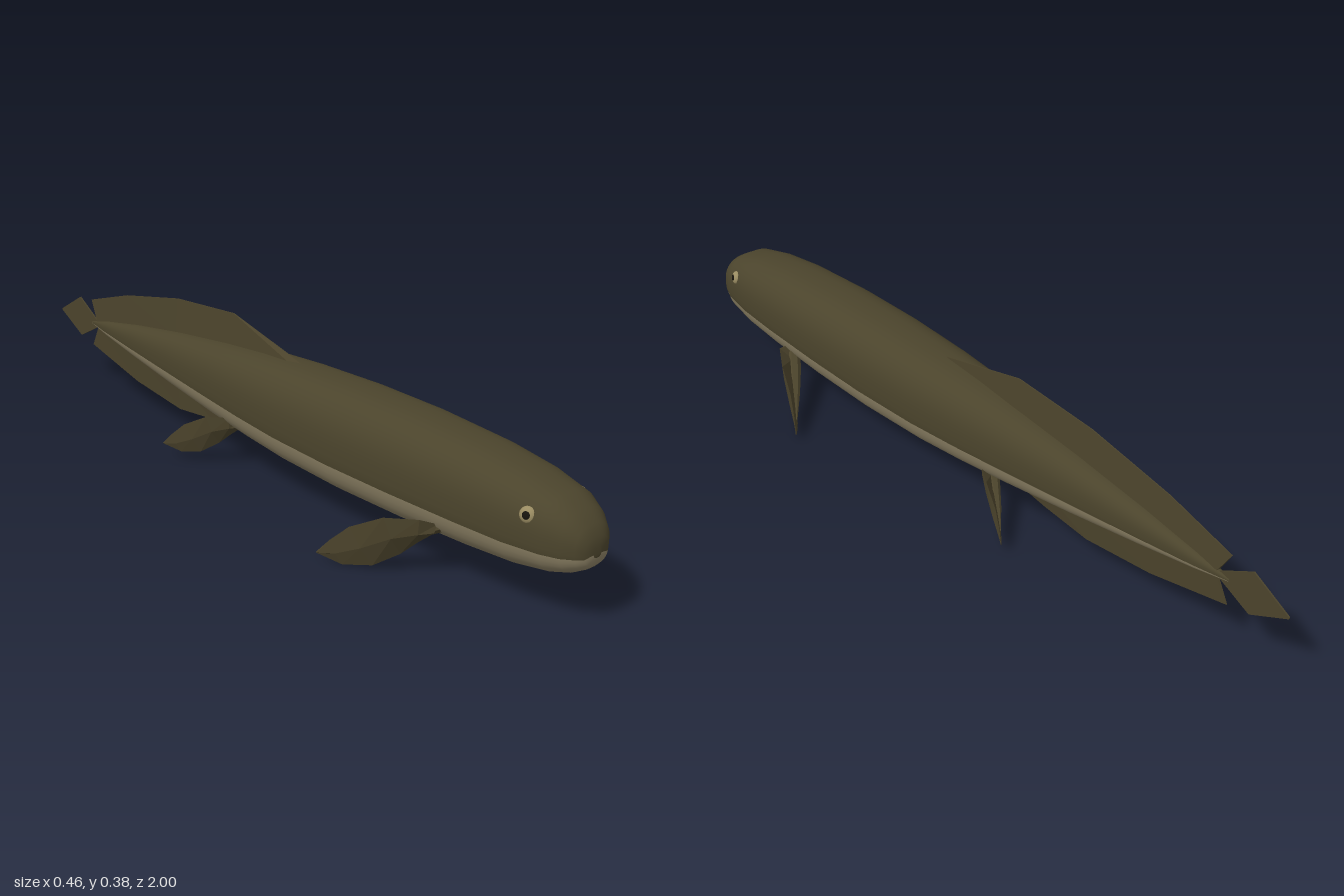
import * as THREE from 'three';

const paint = (name, color, flat = false) => {
  const m = new THREE.MeshStandardMaterial({ color, flatShading: flat });
  m.name = name;
  return m;
};

// Skin a row of equal-length closed rings; group(j) picks the material of strip j
function loft(rings, { mirror = false, group = null } = {}) {
  const n = rings[0].length, pos = [], strips = [[], []];
  rings.forEach(r => r.forEach(p => pos.push(mirror ? -p[0] : p[0], p[1], p[2])));
  const tri = (k, a, b, c) => strips[k].push(...(mirror ? [a, c, b] : [a, b, c]));
  const last = (rings.length - 1) * n;
  for (let i = 0; i < rings.length - 1; i++) {
    for (let j = 0; j < n; j++) {
      const k = group ? group(j) : 0;
      const a = i * n + j, b = i * n + (j + 1) % n;
      tri(k, a, a + n, b);
      tri(k, b, a + n, b + n);
    }
  }
  for (let j = 1; j < n - 1; j++) {
    tri(0, 0, j, j + 1);
    tri(0, last, last + j + 1, last + j);
  }
  const g = new THREE.BufferGeometry();
  g.setAttribute('position', new THREE.Float32BufferAttribute(pos, 3));
  g.setIndex([...strips[0], ...strips[1]]);
  g.addGroup(0, strips[0].length, 0);
  g.addGroup(strips[0].length, strips[1].length, 1);
  g.computeVertexNormals();
  return g;
}

export function createModel() {
  const fish = new THREE.Group();
  fish.name = 'fish';
  const back = paint('olive back', 0x4b442c);
  const belly = paint('pale belly', 0x8a7f63);
  const finMat = paint('fin olive', 0x4b432b, true);
  const eyeMat = paint('eye tan', 0x9a8c62);
  const pupilMat = paint('pupil dark', 0x17140d);

  const add = (name, geometry, material, parent = fish) => {
    const m = new THREE.Mesh(geometry, material);
    m.name = name;
    parent.add(m);
    return m;
  };

  // Body stations: z, top, bottom, half width
  const stations = [
    [1.0, 0.19, 0.165, 0.012], [0.997, 0.21, 0.148, 0.036], [0.985, 0.233, 0.136, 0.052],
    [0.96, 0.257, 0.122, 0.07], [0.92, 0.28, 0.11, 0.086], [0.83, 0.301, 0.096, 0.099],
    [0.7, 0.317, 0.088, 0.107], [0.5, 0.328, 0.081, 0.112], [0.3, 0.33, 0.079, 0.112],
    [0.1, 0.325, 0.085, 0.105], [-0.05, 0.317, 0.096, 0.094], [-0.2, 0.304, 0.11, 0.079],
    [-0.4, 0.281, 0.133, 0.058], [-0.6, 0.252, 0.16, 0.037], [-0.75, 0.225, 0.182, 0.019],
    [-0.84, 0.204, 0.196, 0.003],
  ];
  // Rounded-square sections; the first angles cover the back, the rest the belly
  const upper = 24, lower = 16, seam = 0.25;
  const angles = [];
  for (let j = 0; j < upper; j++) angles.push(-seam + (Math.PI + 2 * seam) * j / upper);
  for (let j = 0; j < lower; j++) angles.push(Math.PI + seam + (Math.PI - 2 * seam) * j / lower);
  const soft = v => Math.sign(v) * Math.abs(v) ** 0.8;
  const bodyRings = stations.map(([z, top, bottom, w]) => angles.map(a => [
    w * soft(Math.cos(a)),
    (top + bottom) / 2 + (top - bottom) / 2 * soft(Math.sin(a)),
    z,
  ]));
  add('body', loft(bodyRings, { group: j => (j < upper ? 0 : 1) }), [back, belly]);

  // Wedge-shaped middle fins, ribs: base z, base y, edge z, edge y
  const wedge = (name, ribs, width) => {
    const s = Math.sign(ribs[1][3] - ribs[1][1]);
    add(name, loft(ribs.map(([zb, yb, zt, yt], i) => {
      const w = s * width * (1 - 0.6 * i / ribs.length), e = s * 0.0012;
      return [[w, yb, zb], [e, yt, zt], [-e, yt, zt], [-w, yb, zb]];
    })), finMat);
  };
  wedge('dorsalFin', [
    [0.08, 0.31, 0.08, 0.324], [-0.18, 0.29, -0.18, 0.385], [-0.42, 0.265, -0.42, 0.367],
    [-0.66, 0.232, -0.66, 0.32], [-0.805, 0.205, -0.84, 0.266],
  ], 0.012);
  wedge('analFin', [
    [-0.1, 0.115, -0.1, 0.102], [-0.28, 0.13, -0.28, 0.075], [-0.42, 0.145, -0.42, 0.061],
    [-0.62, 0.168, -0.62, 0.084], [-0.805, 0.195, -0.84, 0.134],
  ], 0.008);

  // Diamond tail
  add('tailFin', loft([
    [-0.8, 0.202, 0.198], [-0.9, 0.26, 0.147], [-1.0, 0.203, 0.199],
  ].map(([z, t, b]) => [[0.002, b, z], [0.002, t, z], [-0.002, t, z], [-0.002, b, z]])), finMat);

  // Lobed paired fins: upper edge, lower edge, ridge height
  const blade = [
    [[0.09, 0.135, 0.645], [0.08, 0.1, 0.62], 0.016],
    [[0.125, 0.148, 0.625], [0.1, 0.078, 0.597], 0.015],
    [[0.165, 0.14, 0.555], [0.125, 0.048, 0.57], 0.012],
    [[0.195, 0.1, 0.48], [0.16, 0.012, 0.52], 0.009],
    [[0.215, 0.06, 0.44], [0.195, 0.002, 0.46], 0.005],
    [[0.231, 0.026, 0.413], [0.229, 0.023, 0.415], 0.001],
  ];
  const normal = new THREE.Vector3(0.78, -0.17, 0.6);
  const bladeRings = blade.map(([u, l, t]) => {
    const ridge = s => u.map((v, k) => (v + l[k]) / 2 + s * t * normal.getComponent(k));
    return [u, ridge(-1), l, ridge(1)];
  });
  const lobeFrom = new THREE.Vector3(0.075, 0.128, 0.64), lobeTo = new THREE.Vector3(0.205, 0.042, 0.447);
  const across = new THREE.Vector3().crossVectors(normal, lobeTo.clone().sub(lobeFrom)).normalize();
  if (across.y < 0) across.negate();
  const lobeRings = [[0, 0.019], [0.3, 0.021], [0.65, 0.014], [1, 0.003]].map(([f, r]) =>
    Array.from({ length: 8 }, (_, j) => {
      const a = j * Math.PI / 4;
      return lobeFrom.clone().lerp(lobeTo, f)
        .addScaledVector(across, r * 0.8 * Math.cos(a))
        .addScaledVector(normal, -r * Math.sin(a)).toArray();
    }));
  const pairedFin = (name, mirror, place) => {
    const g = new THREE.Group();
    g.name = name;
    const put = rings => loft(rings.map(r => r.map(place)), { mirror });
    add('finBlade', put(bladeRings), finMat, g);
    add('finLobe', put(lobeRings), finMat, g);
    fish.add(g);
  };
  const pelvic = ([x, y, z]) => [0.147 + (x - 0.23) * 0.8, 0.14 + (y - 0.148) * 0.8, -0.1 + (z - 0.65) * 0.8];

  for (const [side, s] of [['left', 1], ['right', -1]]) {
    pairedFin(side + 'PectoralFin', s < 0, p => p);
    pairedFin(side + 'PelvicFin', s < 0, pelvic);

    // Eye bulge with a dark pupil facing outward
    const eye = new THREE.Group();
    eye.name = side + 'Eye';
    eye.position.set(s * 0.081, 0.24, 0.884);
    eye.lookAt(s * (0.081 + 0.9), 0.24 + 0.2, 0.884 + 0.3);
    add('eyeball', new THREE.SphereGeometry(0.018, 20, 12).scale(1, 1, 0.6), eyeMat, eye);
    add('pupil', new THREE.SphereGeometry(0.009, 16, 10).scale(1, 1, 0.4), pupilMat, eye).position.z = 0.0085;
    fish.add(eye);
  }
  return fish;
}
